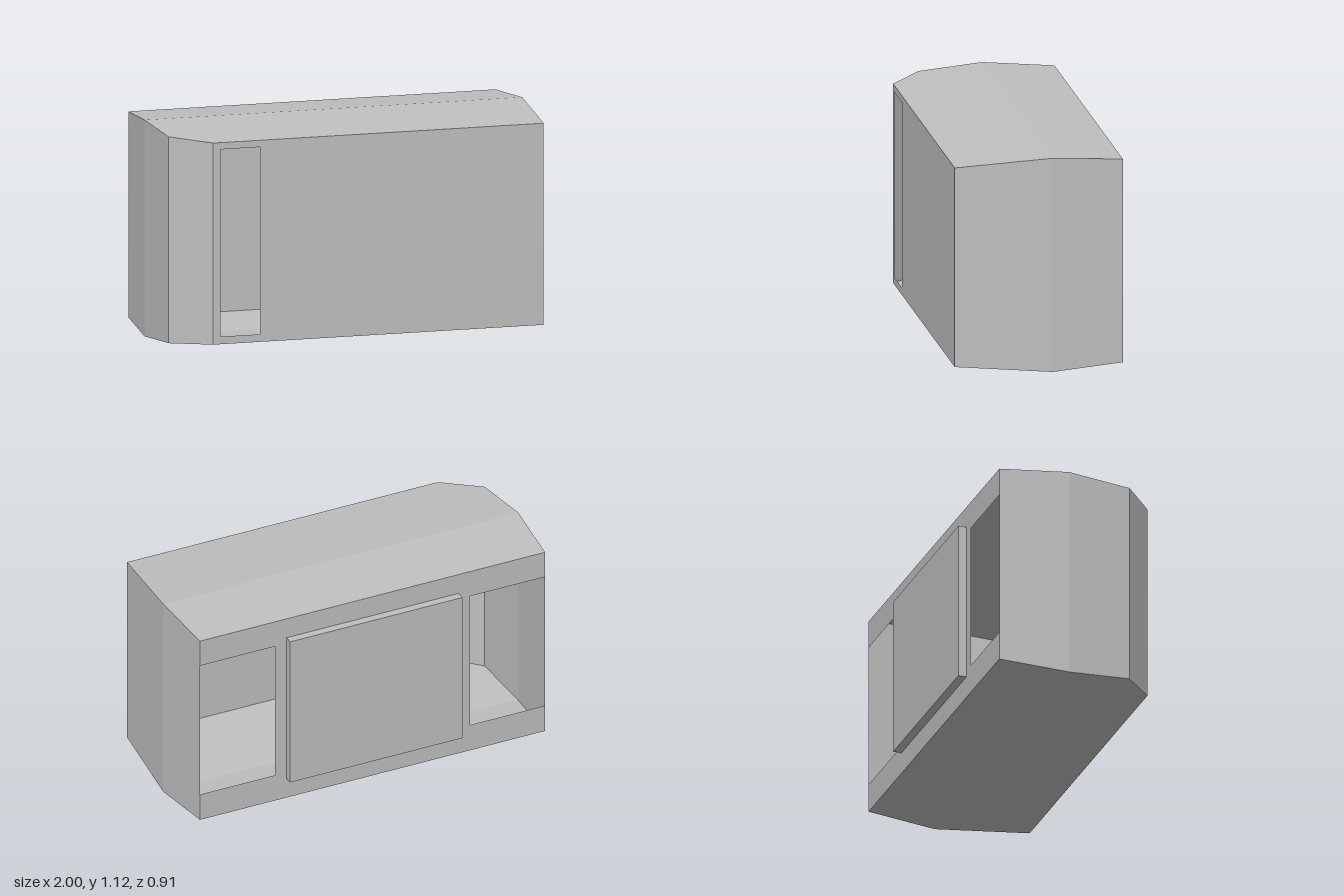
import * as THREE from 'three';

const FRONT = 0.453, BACK = -0.409, MID = -0.043, HEIGHT = 1.115;

// Plan outline (x, z), from the back right corner round the front to the back left corner
const PLAN = [
  [-0.972, BACK], [-1, MID], [-0.975, 0.29], [-0.79, FRONT],
  [0.96, FRONT], [1, MID], [0.972, BACK],
];

// Floor rises and roof drops by this much away from the middle ridge
const inset = (z) => (z > MID ? 0.038 * (z - MID) / (FRONT - MID) : 0.027 * (MID - z) / (MID - BACK));
const low = ([x, z]) => [x, inset(z), z];
const high = ([x, z]) => [x, HEIGHT - inset(z), z];

// Flat convex faces, each fanned into triangles
function facesGeometry(faces) {
  const pos = [];
  for (const f of faces) {
    for (let i = 1; i < f.length - 1; i++) pos.push(...f[0], ...f[i], ...f[i + 1]);
  }
  const g = new THREE.BufferGeometry();
  g.setAttribute('position', new THREE.Float32BufferAttribute(pos, 3));
  g.computeVertexNormals();
  return g;
}

const rectPoints = (x0, x1, y0, y1) =>
  [[x0, y0], [x1, y0], [x1, y1], [x0, y1]].map(([x, y]) => new THREE.Vector2(x, y));

export function createModel() {
  const group = new THREE.Group();
  const grey = new THREE.MeshStandardMaterial({ color: 0xbfbfbf, side: THREE.DoubleSide });
  grey.name = 'grey';
  const add = (name, geometry) => {
    const mesh = new THREE.Mesh(geometry, grey);
    mesh.name = name;
    group.add(mesh);
    return mesh;
  };

  // Side walls and the chamfered corner (edge 3 is the front wall)
  const walls = [];
  for (let i = 0; i < PLAN.length - 1; i++) {
    if (i === 3) continue;
    const a = PLAN[i], b = PLAN[i + 1];
    walls.push([low(a), low(b), high(b), high(a)]);
  }
  add('sideWalls', facesGeometry(walls));

  // Roof and floor, each folded along the middle ridge
  const halves = [[0, 1, 5, 6], [1, 2, 3, 4, 5]].map((ids) => ids.map((i) => PLAN[i]));
  add('roof', facesGeometry(halves.map((h) => h.map(high))));
  add('floor', facesGeometry(halves.map((h) => h.map(low).reverse())));

  // Front wall with a tall narrow opening
  const yf = inset(FRONT);
  const front = new THREE.Shape(rectPoints(-0.79, 0.96, yf, HEIGHT - yf));
  front.holes.push(new THREE.Path(rectPoints(-0.752, -0.542, 0.077, 1.042).reverse()));
  add('frontWall', new THREE.ShapeGeometry(front)).position.z = FRONT;

  // Back wall: full-width rails above and below, with openings at both ends
  const yb = inset(BACK), w = 0.972, c = 0.55, o0 = 0.177, o1 = 0.942;
  const back = new THREE.Shape([
    [-w, yb], [w, yb], [w, o0], [c, o0], [c, o1], [w, o1],
    [w, HEIGHT - yb], [-w, HEIGHT - yb], [-w, o1], [-c, o1], [-c, o0], [-w, o0],
  ].map(([x, y]) => new THREE.Vector2(x, y)));
  add('backWall', new THREE.ShapeGeometry(back).rotateY(Math.PI)).position.z = BACK;

  // Raised panel on the back
  const depth = 0.044;
  add('backPanel', new THREE.BoxGeometry(0.97, 0.835, depth)).position.set(0, 0.5585, BACK - depth / 2);

  return group;
}
